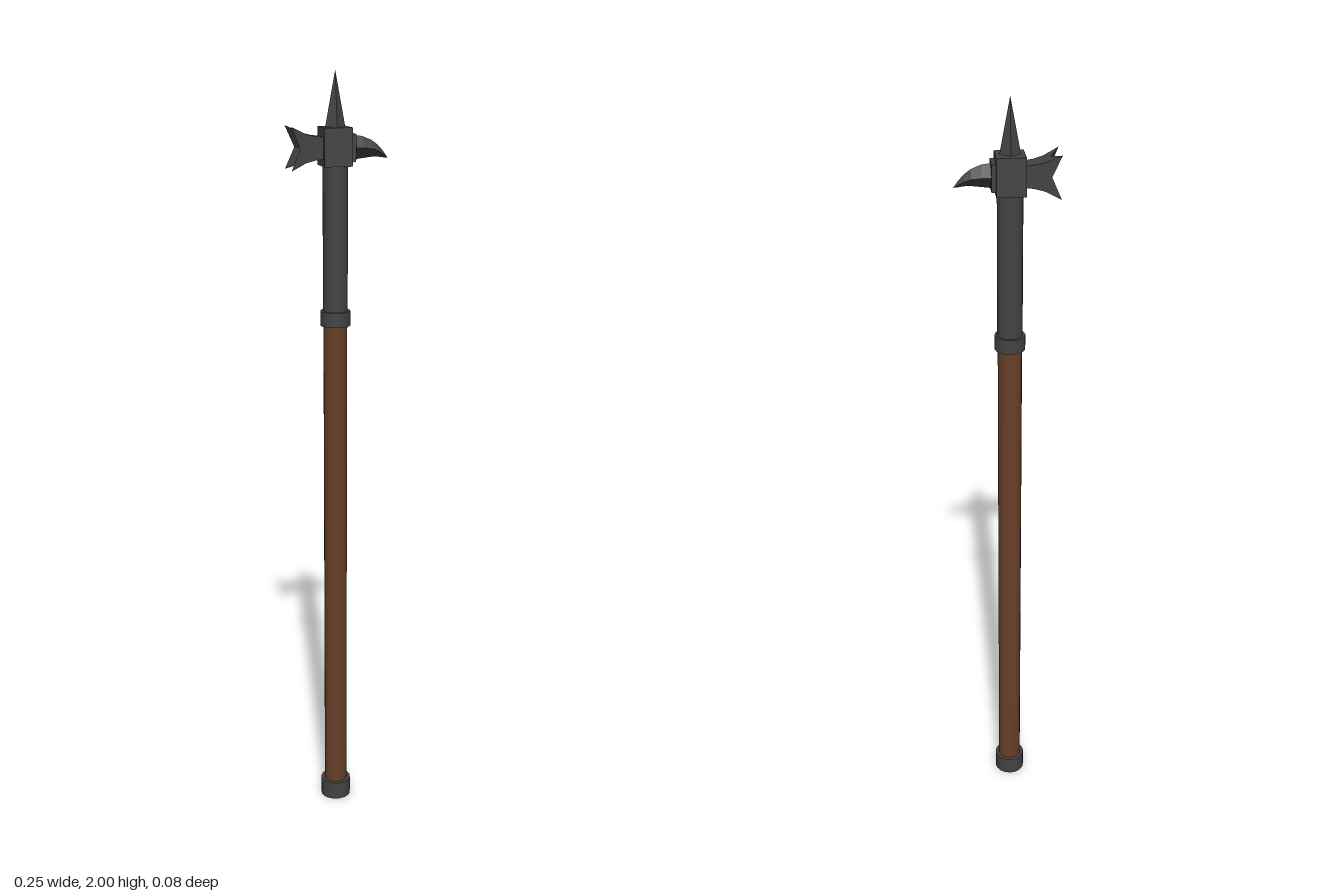
import * as THREE from 'three';
import { toCreasedNormals } from 'three/addons/utils/BufferGeometryUtils.js';

const CX = -0.0085; // shaft axis

// Skin rings of points, ordered counter-clockwise about the travel direction, and cap both ends
function loft(rings, startCentre, endCentre) {
  const pos = [];
  const tri = (...pts) => pts.forEach((p) => pos.push(...p));
  const first = rings[0], last = rings[rings.length - 1], n = first.length;
  for (let j = 0; j < n; j++) {
    const k = (j + 1) % n;
    for (let i = 0; i < rings.length - 1; i++) {
      const a = rings[i], b = rings[i + 1];
      tri(a[j], a[k], b[k]);
      tri(a[j], b[k], b[j]);
    }
    tri(first[k], first[j], startCentre);
    tri(last[j], last[k], endCentre);
  }
  const g = new THREE.BufferGeometry();
  g.setAttribute('position', new THREE.Float32BufferAttribute(pos, 3));
  g.computeVertexNormals();
  return g;
}

export function createModel() {
  const model = new THREE.Group();
  const makeMaterial = (name, color) => {
    const m = new THREE.MeshStandardMaterial({ color });
    m.name = name;
    return m;
  };
  const metal = makeMaterial('darkSteel', 0x434343);
  const paleMetal = makeMaterial('paleSteel', 0xd0d0d0);
  const wood = makeMaterial('brownWood', 0x683f28);

  const add = (name, geometry, material, x = 0, y = 0) => {
    const mesh = new THREE.Mesh(geometry, material);
    mesh.name = name;
    mesh.position.set(x, y, 0);
    model.add(mesh);
  };
  const rod = (name, r, y0, y1, material) =>
    add(name, new THREE.CylinderGeometry(r, r, y1 - y0, 16), material, CX, (y0 + y1) / 2);

  // Shaft, socket and fittings; the pommel has a pale underside
  rod('pommel', 0.041, 0, 0.05, [metal, metal, paleMetal]);
  rod('woodenShaft', 0.031, 0.045, 1.38, wood);
  rod('collar', 0.039, 1.367, 1.405, metal);
  rod('socket', 0.032, 1.39, 1.79, metal);

  // Head block and the step that carries the beak
  add('headBlock', new THREE.BoxGeometry(0.072, 0.094, 0.072), metal, CX, 1.817);
  add('beakNeck', new THREE.BoxGeometry(0.014, 0.068, 0.056), metal, 0.031, 1.814);

  // Four-sided top spike
  const spike = new THREE.ConeGeometry(0.026, 0.138, 4);
  spike.scale(1, 1, 0.8);
  add('topSpike', toCreasedNormals(spike, 0.1), metal, CX, 1.931);

  // Drooping beak with diamond sections: [x, top, bottom, half width]
  const beak = [
    [0.03, 1.845, 1.783, 0.026], [0.06, 1.841, 1.787, 0.022], [0.085, 1.831, 1.79, 0.018],
    [0.101, 1.819, 1.79, 0.0145], [0.115, 1.804, 1.788, 0.008],
  ].map(([x, top, bottom, w]) => {
    const mid = (top + bottom) / 2;
    return [[x, top, 0], [x, mid, w], [x, bottom, 0], [x, mid, -w]];
  });
  add('beak', loft(beak, [0.03, 1.814, 0], [0.127, 1.787, 0]), metal);

  // Flared square hammer: [x, half height, half width]
  const square = [[0, 1], [1, 1], [1, 0], [1, -1], [0, -1], [-1, -1], [-1, 0], [-1, 1]];
  const section = (x, h, w) => square.map(([v, u]) => [x, 1.815 + v * h, u * w]);
  const claw = [[-0.04, 0.026, 0.023], [-0.065, 0.029, 0.0255], [-0.09, 0.035, 0.03]]
    .map((s) => section(...s));
  // The end is notched between its corners, leaving four prongs along the flare
  const tips = section(-0.128, 0.053, 0.039);
  const notches = section(-0.105, 0.041, 0.033);
  claw.push(square.map(([v, u], j) => (u * v === 0 ? notches[j] : tips[j])));
  add('clawedHammer', loft(claw, [-0.04, 1.815, 0], [-0.088, 1.815, 0]), metal);

  return model;
}
